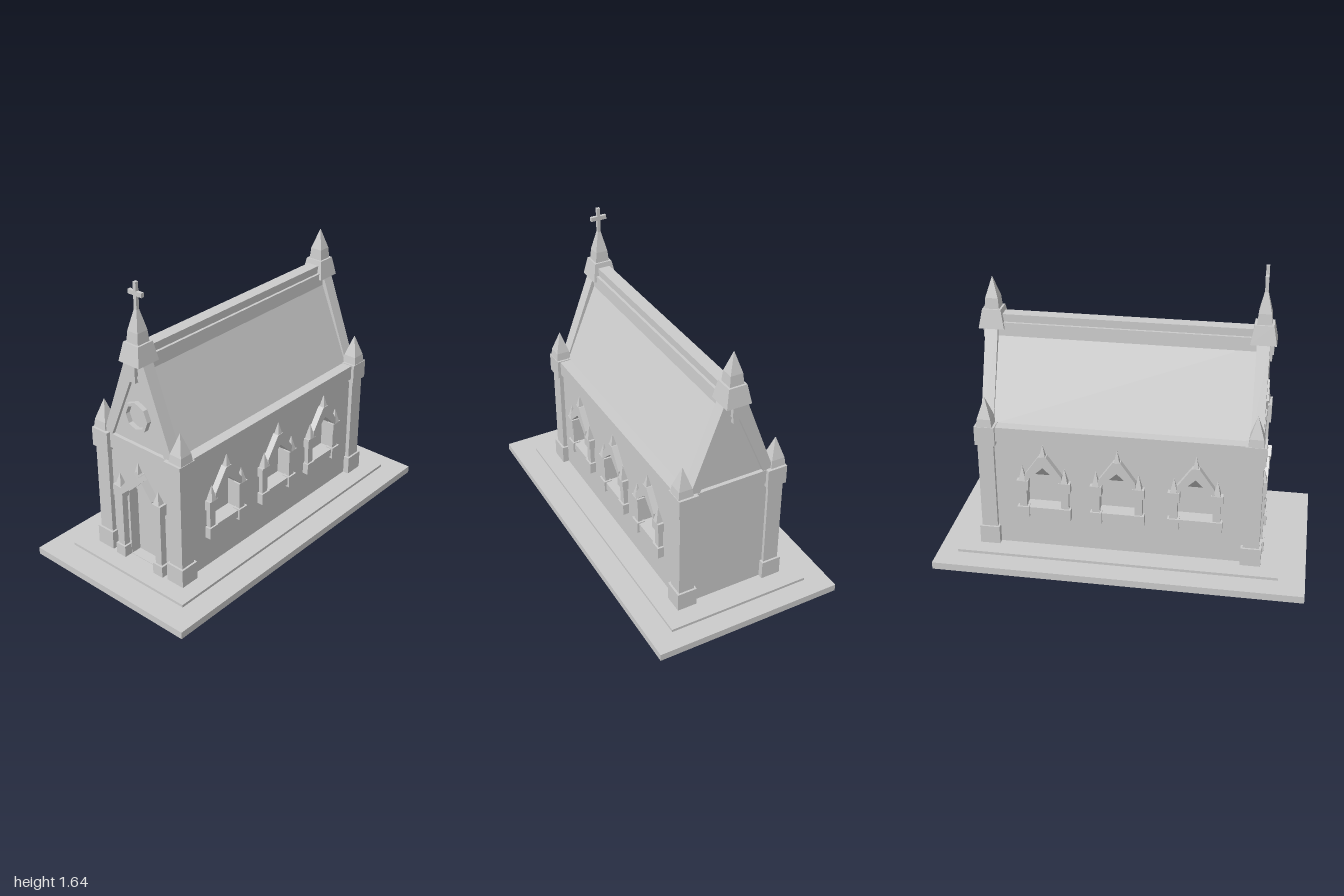
import * as THREE from 'three';

const mat = new THREE.MeshStandardMaterial({ color: 0xcccccc, flatShading: true, side: THREE.DoubleSide });

function add(parent, name, geo, x = 0, y = 0, z = 0) {
  const m = new THREE.Mesh(geo, mat);
  m.name = name;
  m.position.set(x, y, z);
  parent.add(m);
  return m;
}

// Box between two heights
function box(parent, name, w, d, y0, y1, x = 0, z = 0) {
  return add(parent, name, new THREE.BoxGeometry(w, y1 - y0, d), x, (y0 + y1) / 2, z);
}

// Square tapered block: half widths at bottom and top
function taper(parent, name, h0, h1, y0, y1, x = 0, z = 0) {
  const g = new THREE.CylinderGeometry(h1 * Math.SQRT2, h0 * Math.SQRT2, y1 - y0, 4);
  g.rotateY(Math.PI / 4);
  return add(parent, name, g, x, (y0 + y1) / 2, z);
}

const pts = (list) => list.map(([x, y]) => new THREE.Vector2(x, y));

// Extruded outline with optional holes, from z0 to z1
function slab(parent, name, outline, z0, z1, holes = []) {
  const s = new THREE.Shape(pts(outline));
  for (const h of holes) s.holes.push(new THREE.Path(pts(h)));
  const g = new THREE.ExtrudeGeometry(s, { depth: z1 - z0, bevelEnabled: false });
  return add(parent, name, g, 0, 0, z0);
}

const rect = (x0, x1, y0, y1) => [[x0, y0], [x1, y0], [x1, y1], [x0, y1]];
const arch = (c, w, y0, yb) =>
  [[c - w, y0], [c - w, yb], [c, yb + 0.095], [c + w, yb], [c + w, y0]];
const octagon = (r, cy) => Array.from({ length: 8 }, (_, i) =>
  [r * Math.cos(i * Math.PI / 4), cy + r * Math.sin(i * Math.PI / 4)]);

const DEPTH = 0.06; // wall recess depth

// Pinnacled surround of a doorway or window; wall face at local z = 0
function surround(name, { span, w, y0, baseTop, capY, capTop, tip, yb, out, post }) {
  const g = new THREE.Group();
  g.name = name;
  for (const s of [-1, 1]) {
    const x = s * span;
    box(g, 'postBase', post, out + 0.01, y0, baseTop, x, out / 2 - 0.005);
    box(g, 'postShaft', post * 0.65, out - 0.01, baseTop, capY, x, out / 2 - 0.005);
    box(g, 'postCapital', post, out + 0.01, capY, capTop, x, out / 2 - 0.005);
    taper(g, 'postPinnacle', post * 0.3, 0.001, capTop, tip, x, out / 2);
  }
  slab(g, 'pointedHood', [[-w, yb], [0, yb + 0.095], [w, yb], [w, yb + 0.045],
    [0.02, yb + 0.16], [-0.02, yb + 0.16], [-w, yb + 0.045]], -0.01, out);
  // Sloping soffit inside the arch head
  const soffit = new THREE.BufferGeometry();
  soffit.setAttribute('position', new THREE.Float32BufferAttribute(
    [-w, yb, -DEPTH, w, yb, -DEPTH, 0, yb + 0.095, out], 3));
  soffit.computeVertexNormals();
  add(g, 'archSoffit', soffit);
  taper(g, 'hoodFinial', 0.017, 0.001, yb + 0.15, yb + 0.225, 0, out / 2);
  return g;
}

export function createModel() {
  const model = new THREE.Group();
  model.name = 'chapel';

  // Plinth
  box(model, 'plinth', 1.056, 2, 0, 0.04);
  box(model, 'step', 0.804, 1.748, 0.04, 0.055, 0, -0.016);

  // Walls with recessed openings
  box(model, 'wallCore', 0.43, 1.415, 0.055, 0.7, 0, -0.0475);
  slab(model, 'frontWall', rect(-0.275, 0.275, 0.055, 0.7), 0.66, 0.72,
    [arch(0.004, 0.1, 0.058, 0.45)]);
  const windowZ = [0.398, -0.02, -0.42];
  for (const s of [-1, 1]) {
    const side = new THREE.Group();
    side.name = s > 0 ? 'leftSide' : 'rightSide';
    side.rotation.y = s * Math.PI / 2;
    side.position.x = s * 0.275;
    const ends = [-s * 0.66, s * 0.755].sort((a, b) => a - b);
    slab(side, 'sideWall', rect(ends[0], ends[1], 0.055, 0.7), -DEPTH, 0,
      windowZ.map((z) => arch(-s * z, 0.1, 0.27, 0.46)));
    for (const z of windowZ) {
      const win = surround('window', { span: 0.115, w: 0.1, y0: 0.24, baseTop: 0.305,
        capY: 0.41, capTop: 0.466, tip: 0.55, yb: 0.46, out: 0.035, post: 0.064 });
      box(win, 'sill', 0.2, 0.09, 0.255, 0.3, 0, -0.02);
      win.position.x = -s * z;
      side.add(win);
    }
    model.add(side);
  }

  // Front doorway
  const door = surround('doorway', { span: 0.136, w: 0.11, y0: 0.055, baseTop: 0.12,
    capY: 0.425, capTop: 0.49, tip: 0.558, yb: 0.45, out: 0.047, post: 0.066 });
  door.position.set(0.004, 0, 0.72);
  const diamond = box(door, 'hoodDiamond', 0.062, 0.05, 0.554, 0.616, 0, 0.03);
  diamond.rotation.z = Math.PI / 4;
  model.add(door);

  // Cornice
  box(model, 'cornice', 0.586, 1.5, 0.685, 0.768, 0, -0.014);

  // Corner piers with pinnacles
  for (const x of [-0.255, 0.255]) for (const z of [0.703, -0.73]) {
    box(model, 'pierBase', 0.11, 0.11, 0.055, 0.16, x, z);
    box(model, 'pierShaft', 0.087, 0.087, 0.16, 0.665, x, z);
    box(model, 'pierCapital', 0.11, 0.11, 0.665, 0.772, x, z);
    const px = x * 1.04;
    taper(model, 'pinnacleFoot', 0.042, 0.037, 0.772, 0.815, px, z);
    taper(model, 'pinnacleSpire', 0.037, 0.001, 0.815, 0.93, px, z);
  }

  // Roof and ridge
  slab(model, 'roof', [[-0.235, 0.76], [0.235, 0.76], [0.04, 1.23], [-0.04, 1.23]], -0.7, 0.68);
  slab(model, 'ridge', [[-0.055, 1.185], [0.055, 1.185], [0.05, 1.268], [0.035, 1.268],
    [0.035, 1.31], [-0.035, 1.31], [-0.035, 1.268], [-0.05, 1.268]], -0.7, 0.68);

  // Gables, each with a recessed panel, bracket and spire
  for (const [z, s] of [[0.701, 1], [-0.728, -1]]) {
    const g = new THREE.Group();
    g.name = s > 0 ? 'frontGable' : 'backGable';
    g.position.z = z;
    slab(g, 'gableFrame', [[-0.25, 0.74], [0.25, 0.74], [0.062, 1.24], [-0.062, 1.24]],
      -0.034, 0.034, [[[-0.187, 0.757], [0, 1.2], [0.187, 0.757]]]);
    slab(g, 'gablePanel', [[-0.2, 0.75], [0.2, 0.75], [0, 1.22]], -0.015, 0.015);
    box(g, 'bracketUpper', 0.05, 0.03, 1.17, 1.24, 0, s * 0.04);
    box(g, 'bracketLower', 0.034, 0.022, 1.13, 1.17, 0, s * 0.036);
    taper(g, 'spireCapital', 0.069, 0.05, 1.235, 1.337);
    taper(g, 'spireFoot', 0.039, 0.034, 1.337, 1.395);
    taper(g, 'spire', 0.034, s > 0 ? 0.009 : 0.001, 1.395, 1.505);
    if (s > 0) {
      slab(g, 'roundWindowFrame', octagon(0.084, 0.933), 0, 0.042, [octagon(0.066, 0.933)]);
      box(g, 'crossUpright', 0.018, 0.018, 1.5, 1.645);
      box(g, 'crossArm', 0.09, 0.018, 1.575, 1.598);
    }
    model.add(g);
  }
  return model;
}
